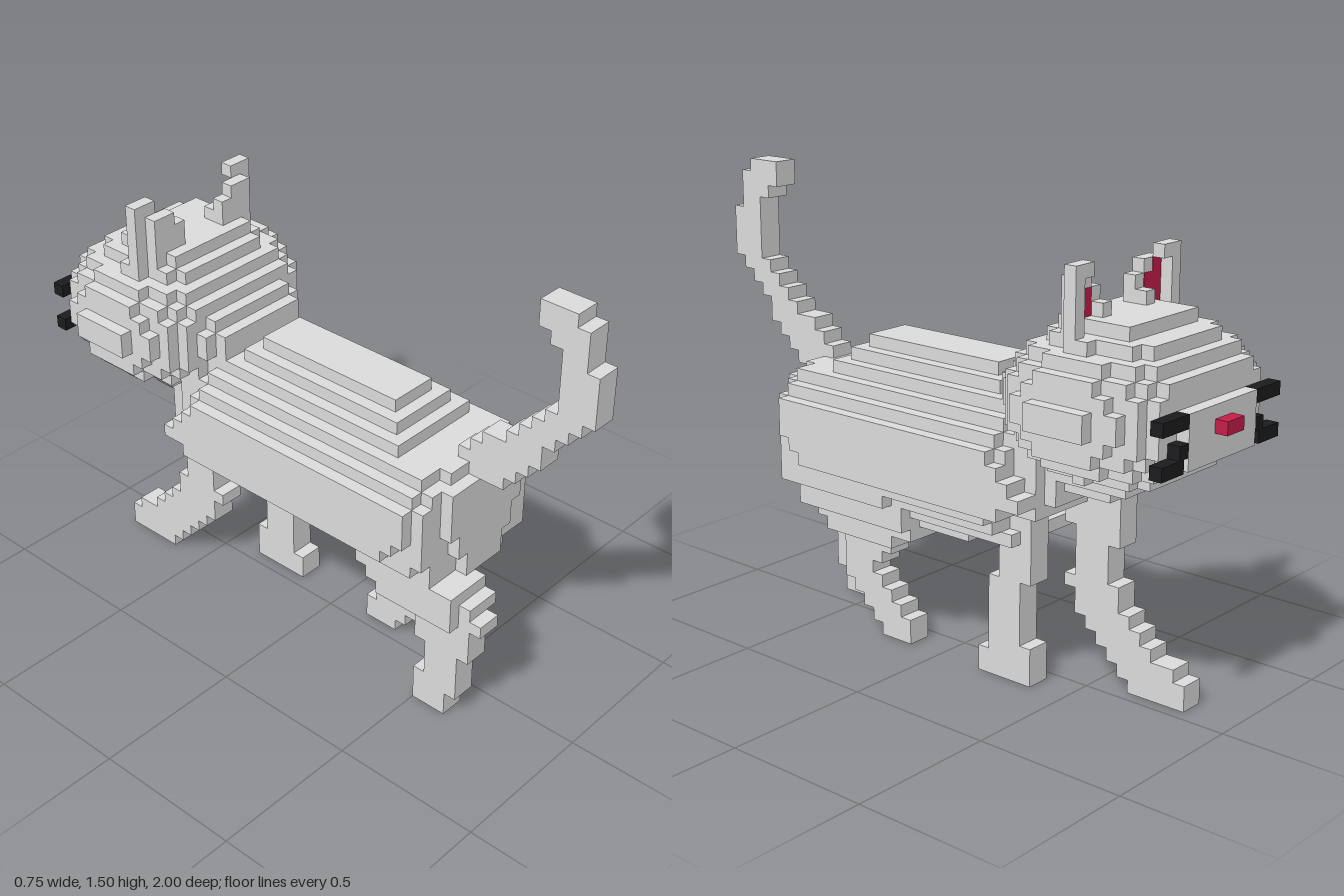
import * as THREE from 'three';
import { mergeGeometries } from 'three/addons/utils/BufferGeometryUtils.js';

const U = 1 / 24; // size of one block

const fur = new THREE.MeshStandardMaterial({ color: 0xdcdcdc });
fur.name = 'grey fur';
const pink = new THREE.MeshStandardMaterial({ color: 0xc41e4a });
pink.name = 'crimson';
const black = new THREE.MeshStandardMaterial({ color: 0x1c1c1e });
black.name = 'black';

// Box from block coordinates
function box(x0, x1, y0, y1, z0, z1) {
  return new THREE.BoxGeometry((x1 - x0) * U, (y1 - y0) * U, (z1 - z0) * U)
    .translate((x0 + x1) / 2 * U, (y0 + y1) / 2 * U, (z0 + z1) / 2 * U);
}

// One mesh from a list of boxes [x0, x1, y0, y1, z0, z1]
function part(name, material, boxes) {
  const mesh = new THREE.Mesh(mergeGeometries(boxes.map((b) => box(...b))), material);
  mesh.name = name;
  return mesh;
}

// Stack of rows [y0, y1, z0, z1] sharing one width
const stack = (x0, x1, rows) => rows.map(([y0, y1, z0, z1]) => [x0, x1, y0, y1, z0, z1]);

// Same boxes on the other side
const mirrored = (boxes) => boxes.map(([x0, x1, ...r]) => [-x1, -x0, ...r]);

// Head: stepped ellipsoid, one box per row and slice
function headBoxes() {
  const boxes = [
    [-4, 4, 20, 24, -23, -20], // flat muzzle
    [-4, 4, 28, 29, -18, -12], // crown
    [-4, 4, 17, 18, -18, -10], // jaw
    [-3, 3, 16, 17, -16, -10], // throat
    [-4, 4, 21, 24, -9, -7], // nape
  ];
  for (let y = 18; y < 28; y++) {
    for (let z = -22; z < -8; z++) {
      const s = 1 - ((y - 22.5) / 5.9) ** 2 - ((z + 16) / 8.5) ** 2;
      const w = Math.floor(9.3 * Math.sqrt(Math.max(s, 0)));
      if (w >= 4) boxes.push([-w, w, y, y + 1, z, z + 1]);
    }
  }
  return boxes;
}

export function createModel() {
  const cat = new THREE.Group();
  cat.name = 'cat';

  // Body: rows [half width, y0, y1, z0, z1], tapered at both ends, with a stepped rump
  const body = [
    [2, 23, 24, -5, 8], [3, 22, 23, -6, 9], [4, 21, 22, -7, 10],
    [5, 20, 21, -8, 13], [6, 19, 20, -8, 13],
    [7, 18, 19, -8, 13], [7, 17, 18, -9, 13], [7, 16, 17, -10, 13],
    [7, 15, 16, -11, 12], [7, 14, 15, -9, 11],
    [6, 14, 19, -9, 14], [6, 13, 14, -7, 13], [5, 12, 13, -7, 13], [4, 11, 12, -8, 12],
    [3, 10, 11, -3, 11],
    [5, 13, 20, 13, 14], [3, 20, 21, 13, 14],
    [4, 16, 20, 14, 15], [3, 14, 16, 14, 15], [2, 12, 14, 13, 15],
  ].map(([w, ...r]) => [-w, w, ...r]);
  cat.add(part('body', fur, body));

  cat.add(part('neck', fur, [[-5, 5, 14, 20, -11, -8], [-4, 4, 15, 21, -12, -7]]));
  cat.add(part('head', fur, headBoxes()));

  // Tail, curving up and back over
  cat.add(part('tail', fur, stack(-1, 1, [
    [20, 21, 14, 17], [21, 22, 13, 18], [22, 23, 14, 19], [23, 24, 15, 20],
    [24, 25, 17, 20], [25, 26, 18, 21], [26, 27, 19, 22], [27, 28, 20, 23],
    [28, 32, 21, 24], [32, 33, 21, 23], [33, 34, 20, 23], [34, 35, 19, 23],
    [35, 36, 19, 22],
  ])));

  // Hind legs, mid stride
  cat.add(part('hindLegBack', fur, [
    ...stack(-4, -2, [
      [0, 2, 12, 15], [2, 3, 12, 16], [3, 6, 13, 16], [6, 8, 12, 17], [8, 9, 11, 17], [9, 10, 11, 18],
    ]),
    [-5, -1, 9, 10, 9, 16], [-5, -1, 10, 11, 8, 16], [-4, -1, 10, 11, 16, 17],
    [-5, -1, 11, 12, 7, 16], [-5, -1, 12, 14, 7, 14],
  ]));
  cat.add(part('hindLegForward', fur, [
    ...stack(1, 3, [
      [0, 1, 3, 6], [1, 2, 3, 7], [2, 3, 4, 8], [3, 4, 5, 9], [4, 5, 6, 10],
      [5, 6, 7, 10], [6, 7, 6, 10], [7, 8, 5, 10],
    ]),
    [1, 4, 8, 9, 4, 11], [1, 4, 9, 10, 2, 12], [1, 5, 10, 12, 2, 13], [1, 6, 12, 14, 3, 14],
  ]));

  // Front legs: one planted, one reaching
  cat.add(part('frontLegPlanted', fur, stack(1, 3, [
    [0, 2, -9, -4], [2, 3, -9, -5], [3, 8, -8, -5], [8, 15, -9, -6],
  ])));
  cat.add(part('frontLegReaching', fur, [
    ...stack(-3, -1, [
      [0, 1, -20, -15], [1, 2, -20, -14], [2, 3, -19, -13], [3, 4, -17, -12],
      [4, 5, -16, -11], [5, 6, -15, -10], [6, 7, -14, -10], [7, 8, -14, -9],
      [8, 11, -13, -10], [11, 17, -14, -10],
    ]),
    [-4, -1, 12, 17, -13, -9],
  ]));

  // Ears: tall outer edge, stepped back and a coloured inside
  const ear = [
    [5, 6, 25, 33, -15, -14], [4, 5, 32, 33, -15, -14],
    [3, 5, 25, 32, -14, -13], [2, 3, 26, 31, -14, -13], [2, 3, 26, 30, -15, -14],
  ];
  const inner = [[4, 5, 27, 32, -14.04, -14], [3, 4, 27, 31, -14.04, -14]];
  cat.add(part('leftEar', fur, ear), part('rightEar', fur, mirrored(ear)));
  cat.add(part('leftInnerEar', pink, inner), part('rightInnerEar', pink, mirrored(inner)));

  // Nose and whiskers
  cat.add(part('nose', pink, [[-1, 1, 22, 23, -24, -23]]));
  const whiskers = [[4, 7, 23, 24, -23, -22], [4, 5, 21, 22, -23, -22], [4.5, 7, 20, 21, -23, -22]];
  cat.add(part('leftWhiskers', black, whiskers), part('rightWhiskers', black, mirrored(whiskers)));

  return cat;
}
